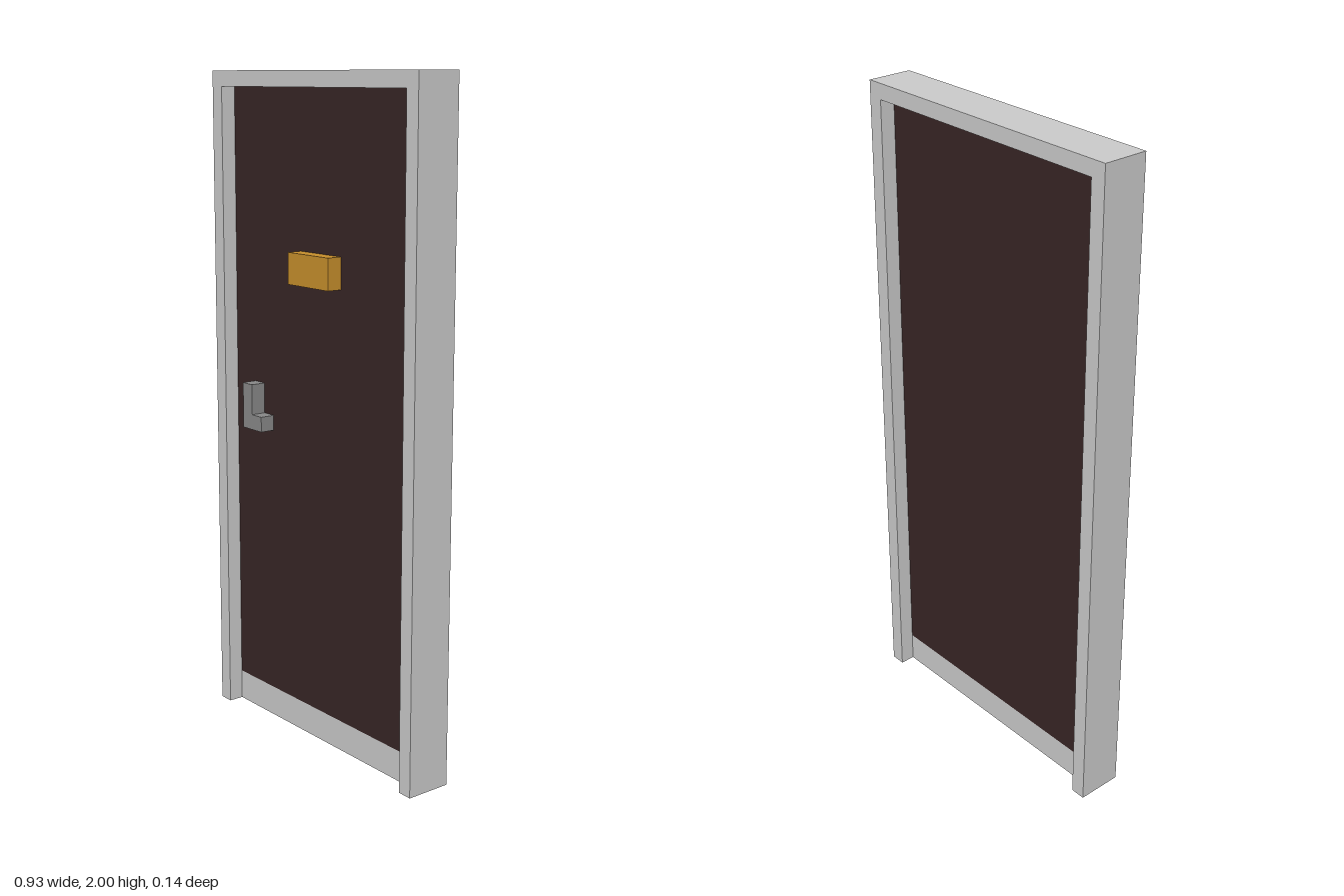
import * as THREE from 'three';

const U = 2 / 43; // one block unit: the door is 20 x 43 x 3 units

export function createModel() {
  const root = new THREE.Group();
  root.name = 'door';

  const material = (name, color) => {
    const m = new THREE.MeshStandardMaterial({ color });
    m.name = name;
    return m;
  };
  const frameGrey = material('frame grey', 0xcacaca);
  const darkBrown = material('dark brown', 0x372525);
  const brass = material('brass', 0xc68e2c);
  const handleGrey = material('handle grey', 0x888888);

  // Closed outline in block units, extruded from z0 to z1
  const slab = (name, mat, points, z0, z1) => {
    const shape = new THREE.Shape(points.map(([x, y]) => new THREE.Vector2(x * U, y * U)));
    const geometry = new THREE.ExtrudeGeometry(shape, { depth: (z1 - z0) * U, bevelEnabled: false });
    geometry.translate(0, 0, z0 * U);
    const mesh = new THREE.Mesh(geometry, mat);
    mesh.name = name;
    root.add(mesh);
  };
  const rect = (x0, y0, x1, y1) => [[x0, y0], [x1, y0], [x1, y1], [x0, y1]];

  // Frame: two jambs and a lintel in one arch
  slab('frame', frameGrey, [
    [-10, 0], [-9, 0], [-9, 42], [9, 42], [9, 0], [10, 0], [10, 43], [-10, 43],
  ], -1.5, 1.5);

  // Recessed door leaf with the kick plate below it
  slab('doorPanel', darkBrown, rect(-9, 2, 9, 42), -0.5, 0.5);
  slab('kickPlate', frameGrey, rect(-9, 0, 9, 2), -0.5, 0.5);

  // Fittings on the front only
  slab('namePlate', brass, rect(-2, 30, 2, 32), 0.5, 1.5);
  slab('handle', handleGrey, [
    [-7, 20], [-5, 20], [-5, 21], [-6, 21], [-6, 23], [-7, 23],
  ], 0.5, 1.5);

  return root;
}
